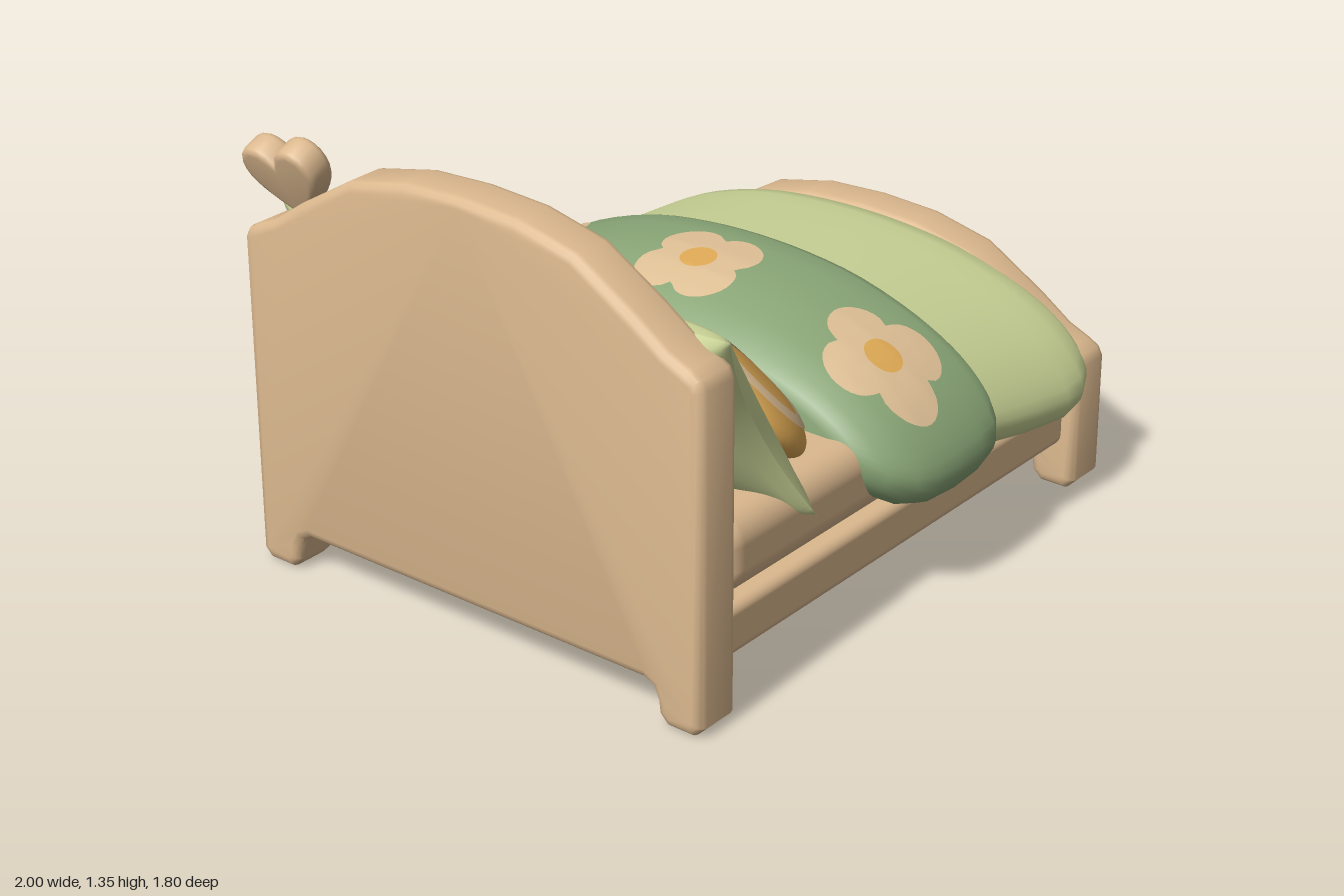
import * as THREE from 'three';
import { toCreasedNormals } from 'three/addons/utils/BufferGeometryUtils.js';
import { RoundedBoxGeometry } from 'three/addons/geometries/RoundedBoxGeometry.js';

const mat = (name, color, side = THREE.FrontSide) => {
  const m = new THREE.MeshStandardMaterial({ color, side });
  m.name = name;
  return m;
};

// Indexed geometry with one group per material; quads is a list of [materialIndex, a, b, c, d]
function quadGeometry(points, quads, materialCount = 1) {
  const geo = new THREE.BufferGeometry().setFromPoints(points);
  const index = [];
  for (let m = 0; m < materialCount; m++) {
    const start = index.length;
    for (const [k, a, b, c, d] of quads) if (k === m) index.push(a, b, d, b, c, d);
    geo.addGroup(start, index.length - start, m);
  }
  geo.setIndex(index);
  geo.computeVertexNormals();
  return geo;
}

// Head and foot boards: arched panel on two feet, raised by lift
function boardGeometry(lift) {
  const half = [[0.62, 0.12], [0.65, 0.105], [0.665, 0.07], [0.67, 0.03], [0.70, 0], [0.79, 0], [0.82, 0.03],
    [0.82, 0.41 + lift], [0.805, 0.44 + lift], [0.77, 0.46 + lift], [0.7, 0.49 + lift], [0.6, 0.56 + lift],
    [0.4, 0.68 + lift], [0.2, 0.725 + lift]];
  const outline = [...half, [0, 0.735 + lift], ...half.slice().reverse().map(([z, y]) => [-z, y])];
  const shape = new THREE.Shape(outline.map(([z, y]) => new THREE.Vector2(z, y)));
  const geo = new THREE.ExtrudeGeometry(shape, {
    depth: 0.1, bevelEnabled: true, bevelSize: 0.03, bevelThickness: 0.03, bevelOffset: -0.03, bevelSegments: 3,
  });
  geo.translate(0, 0, -0.05).rotateY(-Math.PI / 2);
  return toCreasedNormals(geo, 0.7);
}

// Quilt cross-section over the bed: z and height as fractions, left hem to right hem
const archHalf = [[0.91, 0], [0.98, 0.07], [1, 0.22], [0.94, 0.41], [0.83, 0.6], [0.67, 0.77], [0.44, 0.915], [0.22, 0.98]];
const arch = new THREE.SplineCurve(
  [...archHalf, [0, 1], ...archHalf.slice().reverse().map(([z, y]) => [-z, y])].map(([z, y]) => new THREE.Vector2(z, y)),
).getPoints(48);

// Stations along the bed: x, half width, top, hem
const foldStations = [[-0.215, 0.7, 0.69, 0.46], [-0.2, 0.77, 0.73, 0.43], [-0.16, 0.83, 0.765, 0.385], [-0.08, 0.88, 0.795, 0.335],
  [0, 0.895, 0.818, 0.31], [0.1, 0.9, 0.83, 0.305], [0.22, 0.895, 0.83, 0.31], [0.3, 0.885, 0.822, 0.33],
  [0.33, 0.865, 0.81, 0.365], [0.342, 0.84, 0.79, 0.41]];
const quiltStations = [[0.28, 0.85, 0.785, 0.36], [0.4, 0.862, 0.775, 0.335], [0.55, 0.868, 0.762, 0.305], [0.7, 0.88, 0.747, 0.29],
  [0.79, 0.872, 0.738, 0.3], [0.85, 0.845, 0.725, 0.335], [0.875, 0.8, 0.7, 0.39]];

function quiltGeometry(stations) {
  const n = arch.length, points = [], quads = [];
  const loops = stations.map(([x, w, top, hem]) => arch.map((p) => new THREE.Vector3(x, hem + (top - hem) * p.y, p.x * w)));
  points.push(...loops.flat());
  for (let i = 0; i < stations.length - 1; i++)
    for (let j = 0; j < n; j++) {
      const k = (j + 1) % n;
      quads.push([0, i * n + j, (i + 1) * n + j, (i + 1) * n + k, i * n + k]);
    }
  // End caps bridge mirrored points of the arch
  const last = (stations.length - 1) * n;
  for (let j = 0; j < (n - 1) / 2; j++) {
    const a = j, b = j + 1, c = n - 2 - j, d = n - 1 - j;
    quads.push([0, a, b, c, d], [0, last + d, last + c, last + b, last + a]);
  }
  return toCreasedNormals(quadGeometry(points, quads), 0.8);
}

// Height of the folded quilt at a spot seen from above
function foldHeight(x, z) {
  let i = 0;
  while (i < foldStations.length - 2 && foldStations[i + 1][0] < x) i++;
  const A = foldStations[i], B = foldStations[i + 1], t = (x - A[0]) / (B[0] - A[0]);
  const [w, top, hem] = [1, 2, 3].map((k) => A[k] + (B[k] - A[k]) * t);
  const q = Math.abs(z) / w;
  let j = (arch.length - 1) / 2;
  while (j > 7 && arch[j - 1].x < q) j--;
  const p = arch[j], r = arch[j - 1];
  const f = p.y + (r.y - p.y) * Math.min(1, (q - p.x) / (r.x - p.x));
  return hem + (top - hem) * f;
}

// Flat patch draped on the fold, outlined by radius(angle)
function drapedPatch(cx, cz, radius, lift) {
  const rings = 7, n = 56, points = [], quads = [];
  for (let i = 0; i <= rings; i++)
    for (let j = 0; j < n; j++) {
      const a = (j / n) * Math.PI * 2, r = radius(a) * (i / rings);
      const x = cx + r * Math.cos(a), z = cz + r * Math.sin(a);
      points.push(new THREE.Vector3(x, foldHeight(x, z) + lift, z * (1 + lift)));
      const k = (j + 1) % n;
      if (i < rings) quads.push([0, i * n + j, i * n + k, (i + 1) * n + k, (i + 1) * n + j]);
    }
  return quadGeometry(points, quads);
}

// Stuffed pillow with pinched corners; colour(u, v) picks the material of each patch
function pillowGeometry(hw, hh, thick, pinchW, pinchH, flat, colour, materialCount, nu = 56, nv = 36) {
  const points = [], quads = [];
  for (const side of [1, -1]) {
    const base = points.length;
    for (let j = 0; j <= nv; j++)
      for (let i = 0; i <= nu; i++) {
        const u = -Math.cos((i / nu) * Math.PI) * 0.3 + (2 * i / nu - 1) * 0.7;
        const v = -Math.cos((j / nv) * Math.PI) * 0.3 + (2 * j / nv - 1) * 0.7;
        const puff = Math.sqrt(Math.max(0, (1 - Math.abs(u) ** flat) * (1 - v * v)));
        points.push(new THREE.Vector3(u * hw * (1 - pinchW * (1 - v * v)), v * hh * (1 - pinchH * (1 - u ** 4)), side * thick * puff));
        if (i < nu && j < nv) {
          const a = base + j * (nu + 1) + i, b = a + 1, d = a + nu + 1, c = d + 1;
          const m = colour(u + 1 / nu, v + 1 / nv);
          quads.push(side > 0 ? [m, a, b, c, d] : [m, a, d, c, b]);
        }
      }
  }
  return quadGeometry(points, quads, materialCount);
}

function heartShape(s) {
  const h = new THREE.Shape();
  h.moveTo(0, -0.12 * s);
  h.bezierCurveTo(0.05 * s, -0.07 * s, 0.135 * s, -0.02 * s, 0.135 * s, 0.045 * s);
  h.bezierCurveTo(0.135 * s, 0.13 * s, 0.03 * s, 0.14 * s, 0, 0.07 * s);
  h.bezierCurveTo(-0.03 * s, 0.14 * s, -0.135 * s, 0.13 * s, -0.135 * s, 0.045 * s);
  h.bezierCurveTo(-0.135 * s, -0.02 * s, -0.05 * s, -0.07 * s, 0, -0.12 * s);
  return h;
}

export function createModel() {
  const model = new THREE.Group();
  model.name = 'bed';
  const wood = mat('warm wood', 0xdcb98f);
  const cream = mat('cream', 0xdfc096, THREE.DoubleSide);
  const sage = mat('sage green', 0x8aa677);
  const lime = mat('pale green', 0xcbd597);
  const coral = mat('coral', 0xdb8571);
  const gold = mat('gold', 0xdfaa55, THREE.DoubleSide);
  const add = (name, geo, material, x = 0, y = 0, z = 0, parent = model) => {
    const m = new THREE.Mesh(geo, material);
    m.name = name;
    m.position.set(x, y, z);
    parent.add(m);
    return m;
  };

  // Frame and mattress
  add('headboard', boardGeometry(0.61), wood, -0.9);
  add('footboard', boardGeometry(0), wood, 0.92);
  add('bedBase', new RoundedBoxGeometry(1.68, 0.155, 1.56, 3, 0.03), wood, 0.01, 0.232, 0);
  add('mattress', new RoundedBoxGeometry(1.68, 0.24, 1.54, 5, 0.085), wood, 0.03, 0.43, 0);

  // Quilt and its folded-over top
  add('quilt', quiltGeometry(quiltStations), lime);
  add('quiltFold', quiltGeometry(foldStations), sage);
  for (const [x, z, turn] of [[0.06, -0.65, 0.25], [0.045, 0, 0.75], [0.07, 0.64, 0.25]]) {
    const petals = (a) => 0.11 + 0.08 * Math.sqrt(Math.abs(Math.cos(2 * (a - turn))));
    add('flowerPetals', drapedPatch(x, z, petals, 0.006), cream);
    add('flowerCentre', drapedPatch(x, z, () => 0.055, 0.01), gold);
  }

  // Long pillow with a coloured middle band
  const band = (u) => (Math.abs(u + -0.025) < 0.37 ? 1 : 0);
  add('longPillow', pillowGeometry(0.81, 0.385, 0.135, 0.08, 0.07, 6, band, 2).rotateY(Math.PI / 2).rotateZ(0.535),
    [lime, sage], -0.65, 0.785, 0);

  // Checked pillow
  const onLine = (t, lines, w) => lines.some((l) => Math.abs(t - l) < w);
  const check = (u, v) => (onLine(u, [-0.8, -0.38, 0.06, 0.5], 0.055) || onLine(v, [-0.6, -0.1, 0.4, 0.8], 0.06) ? 1 : 0);
  add('checkedPillow', pillowGeometry(0.32, 0.28, 0.1, 0.15, 0.13, 4, check, 2, 72, 64).rotateY(Math.PI / 2).rotateZ(0.72),
    [coral, cream], -0.395, 0.755, -0.01);

  // Round cushion with a ring
  const cushion = new THREE.Group();
  cushion.name = 'roundCushion';
  cushion.position.set(-0.38, 0.7, 0.49);
  cushion.quaternion.setFromUnitVectors(new THREE.Vector3(0, 1, 0), new THREE.Vector3(0.6, 0.68, 0.42).normalize());
  model.add(cushion);
  const R = 0.235, H = 0.078;
  const rim = Array.from({ length: 25 }, (_, i) => {
    const a = (i / 24 - 0.5) * Math.PI;
    return new THREE.Vector2(R * Math.max(0, Math.cos(a)) ** 0.8, H * Math.sin(a));
  });
  add('cushionBody', new THREE.LatheGeometry(rim, 48), gold, 0, 0, 0, cushion);
  const ring = [0.19, 0.18, 0.17, 0.16, 0.15].map((r) => new THREE.Vector2(r, H * Math.sqrt(1 - (r / R) ** 2.5) + 0.005));
  add('cushionRing', new THREE.LatheGeometry(ring, 48), cream, 0, 0, 0, cushion);

  // Heart ornament on the headboard corner
  const heart = new THREE.Group();
  heart.name = 'heartOrnament';
  heart.position.set(-0.905, 1.215, -0.675);
  heart.rotation.z = 0.42;
  model.add(heart);
  const body = new THREE.ExtrudeGeometry(heartShape(1.06), {
    depth: 0.05, bevelSize: 0.02, bevelThickness: 0.02, bevelOffset: -0.02, bevelSegments: 3, curveSegments: 8,
  }).translate(0, 0, -0.025).rotateZ(-0.2).rotateY(Math.PI / 2);
  add('heartBody', toCreasedNormals(body, 0.7), wood, 0, 0, 0, heart);
  const face = new THREE.ShapeGeometry(heartShape(0.76), 10).rotateZ(-0.2).rotateY(Math.PI / 2);
  add('heartFace', face, coral, 0.05, 0, 0, heart);

  return model;
}
